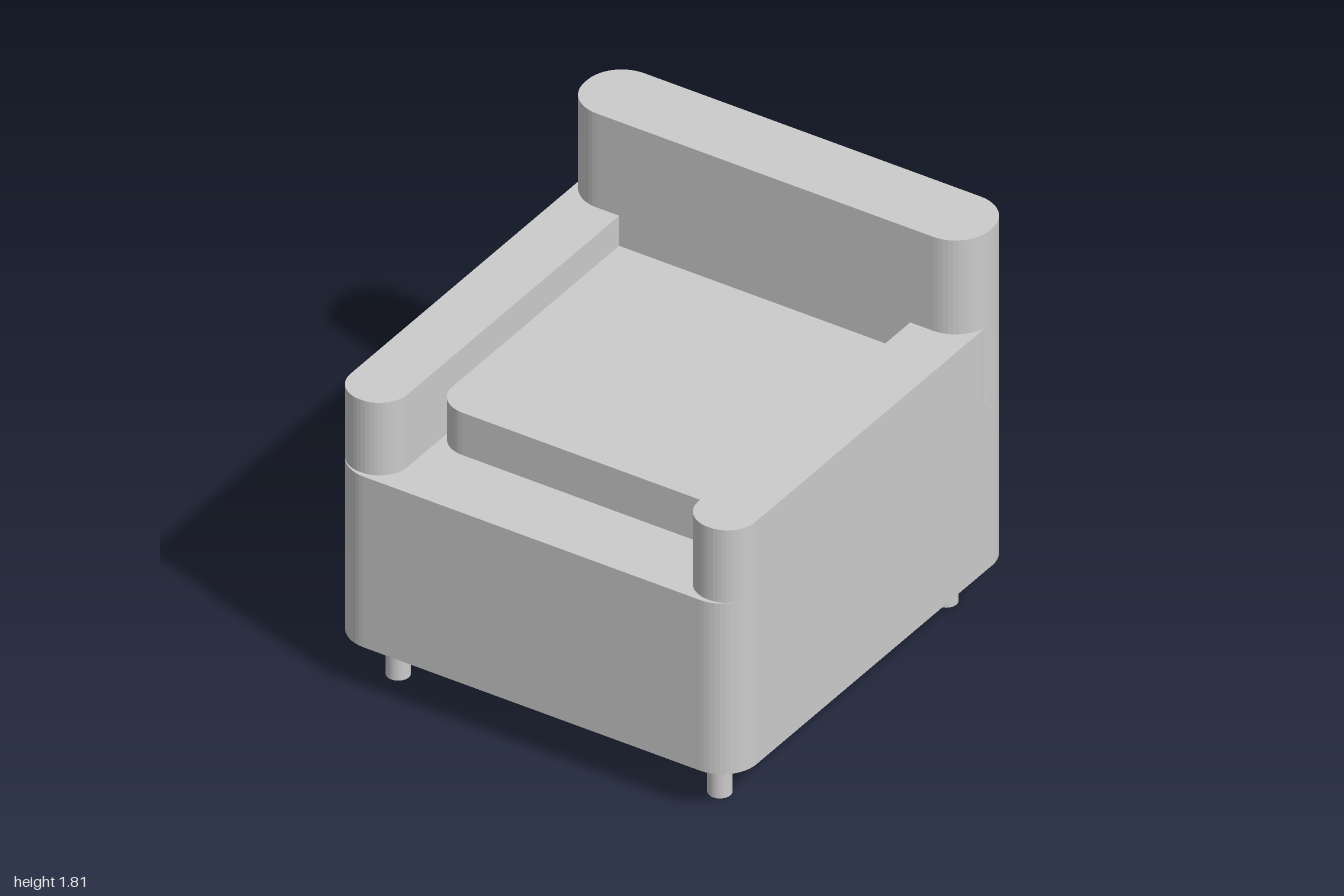
import * as THREE from 'three';

const material = new THREE.MeshStandardMaterial({ color: 0xcccccc });

// Upright block with rounded vertical corners, spanning the given x, y and z ranges
function roundedBlock(name, [x0, x1], [y0, y1], [z0, z1], r) {
  const a = -z1, b = -z0; // shape y runs opposite to z
  const s = new THREE.Shape();
  s.moveTo(x0 + r, a);
  s.lineTo(x1 - r, a);
  s.absarc(x1 - r, a + r, r, -Math.PI / 2, 0);
  s.lineTo(x1, b - r);
  s.absarc(x1 - r, b - r, r, 0, Math.PI / 2);
  s.lineTo(x0 + r, b);
  s.absarc(x0 + r, b - r, r, Math.PI / 2, Math.PI);
  s.lineTo(x0, a + r);
  s.absarc(x0 + r, a + r, r, Math.PI, Math.PI * 1.5);
  const geo = new THREE.ExtrudeGeometry(s, { depth: y1 - y0, bevelEnabled: false, curveSegments: 6 });
  geo.rotateX(-Math.PI / 2);
  geo.translate(0, y0, 0);
  const mesh = new THREE.Mesh(geo, material);
  mesh.name = name;
  return mesh;
}

export function createModel() {
  const chair = new THREE.Group();
  chair.name = 'armchair';

  // Upholstered body
  chair.add(
    roundedBlock('base', [-0.95, 0.95], [0.22, 1.025], [-1, 1], 0.16),
    roundedBlock('backrest', [-0.95, 0.95], [1.025, 1.81], [-1, -0.66], 0.16),
    roundedBlock('seatCushion', [-0.685, 0.685], [1.025, 1.225], [-0.8, 0.66], 0.135),
    roundedBlock('leftArm', [0.683, 0.95], [1.025, 1.367], [-0.89, 0.98], 0.13),
    roundedBlock('rightArm', [-0.95, -0.683], [1.025, 1.367], [-0.89, 0.98], 0.13)
  );

  // Four round legs
  const legGeo = new THREE.CylinderGeometry(0.05, 0.05, 0.22, 20);
  for (const x of [-1, 1]) {
    for (const z of [-1, 1]) {
      const leg = new THREE.Mesh(legGeo, material);
      leg.name = (z > 0 ? 'front' : 'back') + (x > 0 ? 'Left' : 'Right') + 'Leg';
      leg.position.set(x * 0.755, 0.11, z * 0.805);
      chair.add(leg);
    }
  }
  return chair;
}
